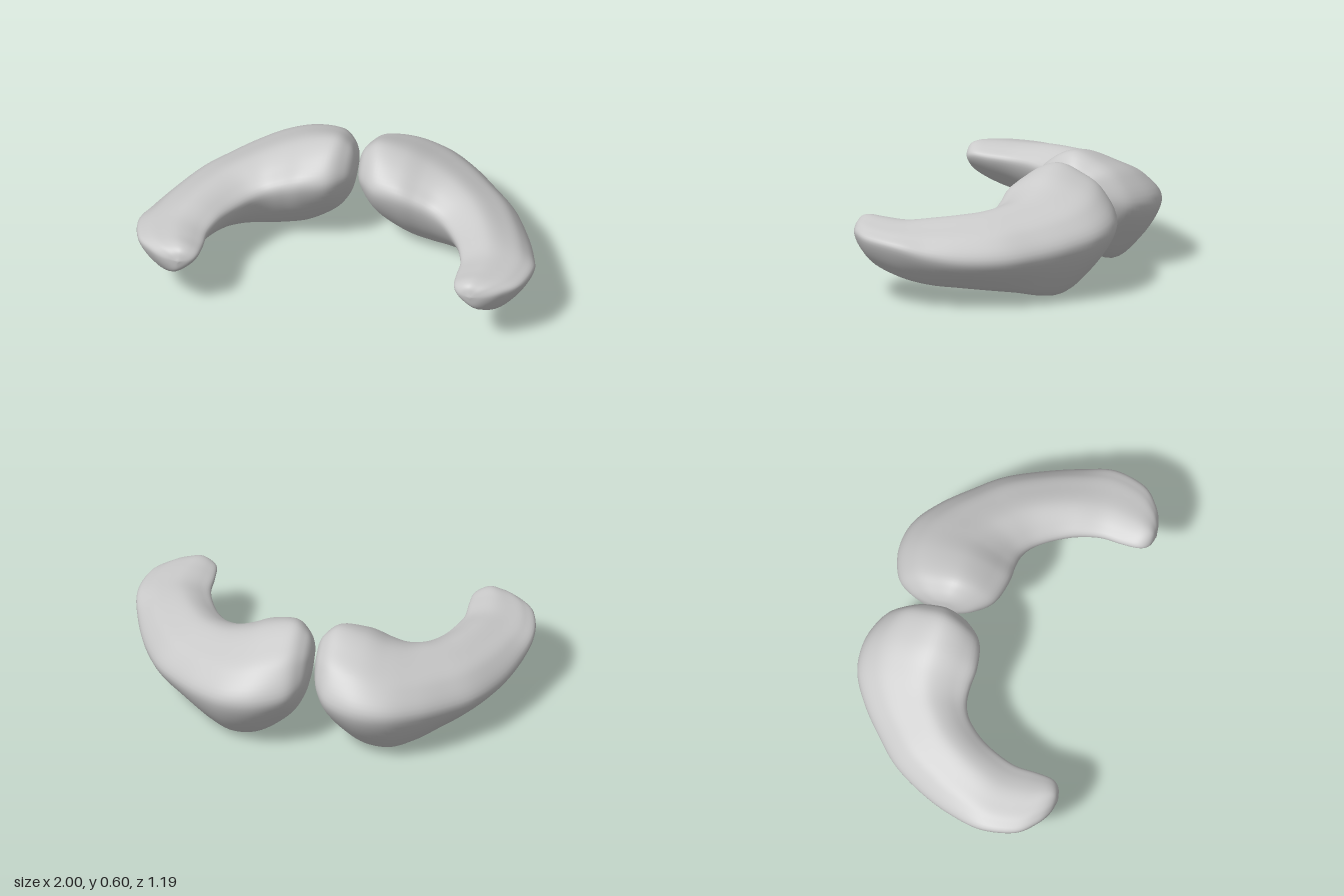
import * as THREE from 'three';
import { mergeVertices } from 'three/addons/utils/BufferGeometryUtils.js';

// Stations along one crescent, from the central end to the front tip:
// outer x, outer z, inner x, inner z, top y, bottom y, outer edge y, inner edge y
const STATIONS = [
  [0.008, -0.28, 0.008, -0.28, 0.43, 0.43, 0.43, 0.43],
  [0.016, -0.38, 0.016, -0.19, 0.505, 0.34, 0.40, 0.43],
  [0.045, -0.473, 0.05, -0.12, 0.56, 0.23, 0.37, 0.44],
  [0.112, -0.557, 0.12, -0.05, 0.60, 0.13, 0.345, 0.44],
  [0.26, -0.608, 0.24, -0.02, 0.575, 0.033, 0.325, 0.43],
  [0.415, -0.588, 0.335, -0.022, 0.525, 0.003, 0.31, 0.40],
  [0.56, -0.497, 0.405, -0.016, 0.49, 0.02, 0.29, 0.375],
  [0.692, -0.373, 0.46, 0.008, 0.47, 0.052, 0.27, 0.36],
  [0.808, -0.243, 0.508, 0.05, 0.455, 0.075, 0.26, 0.35],
  [0.905, -0.06, 0.56, 0.12, 0.443, 0.095, 0.262, 0.345],
  [0.968, 0.115, 0.605, 0.21, 0.43, 0.11, 0.288, 0.35],
  [1.0, 0.27, 0.637, 0.32, 0.415, 0.14, 0.328, 0.35],
  [0.966, 0.432, 0.638, 0.43, 0.415, 0.185, 0.345, 0.355],
  [0.89, 0.517, 0.645, 0.515, 0.415, 0.235, 0.35, 0.36],
  [0.815, 0.56, 0.675, 0.558, 0.395, 0.28, 0.345, 0.35],
  [0.735, 0.577, 0.735, 0.577, 0.345, 0.345, 0.345, 0.345],
];

// Rounded wedge section: broad domed top narrowing to a keel
function section([ox, oz, ix, iz, top, bottom, outerY, innerY]) {
  const mix = THREE.MathUtils.lerp;
  const profile = [
    [0, outerY],
    [0.15, mix(outerY, top, 0.56)],
    [0.36, mix(outerY, top, 0.83)],
    [0.62, top],
    [0.86, mix(innerY, top, 0.66)],
    [1, innerY],
    [0.83, mix(bottom, innerY, 0.48)],
    [0.47, bottom],
    [0.19, mix(bottom, outerY, 0.36)],
  ];
  return profile.map(([u, y]) => new THREE.Vector3(mix(ox, ix, u), y, mix(oz, iz, u)));
}

// Smooth loft through the sections; side = -1 gives the mirrored copy
function crescentGeometry(side, rows = 90, around = 54) {
  const sections = STATIONS.map(section);
  const tracks = sections[0].map((_, k) =>
    new THREE.CatmullRomCurve3(sections.map((s) => s[k]), false, 'catmullrom', 0.5));
  const positions = [];
  const indices = [];
  for (let i = 0; i <= rows; i++) {
    const ring = new THREE.CatmullRomCurve3(
      tracks.map((t) => t.getPoint(i / rows)), true, 'catmullrom', 0.5);
    for (let j = 0; j < around; j++) {
      const p = ring.getPoint(j / around);
      positions.push(p.x * side, p.y, p.z);
    }
  }
  for (let i = 0; i < rows; i++) {
    for (let j = 0; j < around; j++) {
      const a = i * around + j;
      const b = i * around + (j + 1) % around;
      const c = a + around;
      const d = b + around;
      if (side > 0) indices.push(a, b, c, b, d, c);
      else indices.push(a, c, b, b, c, d);
    }
  }
  const geometry = new THREE.BufferGeometry();
  geometry.setAttribute('position', new THREE.Float32BufferAttribute(positions, 3));
  geometry.setIndex(indices);
  const merged = mergeVertices(geometry);
  merged.computeVertexNormals();
  return merged;
}

export function createModel() {
  const model = new THREE.Group();
  model.name = 'crescentPair';
  const grey = new THREE.MeshStandardMaterial({ color: 0xcacaca });
  grey.name = 'lightGrey';

  // Two mirrored crescents, nearly touching at the centre
  for (const [name, side] of [['leftCrescent', 1], ['rightCrescent', -1]]) {
    const mesh = new THREE.Mesh(crescentGeometry(side), grey);
    mesh.name = name;
    model.add(mesh);
  }
  return model;
}
